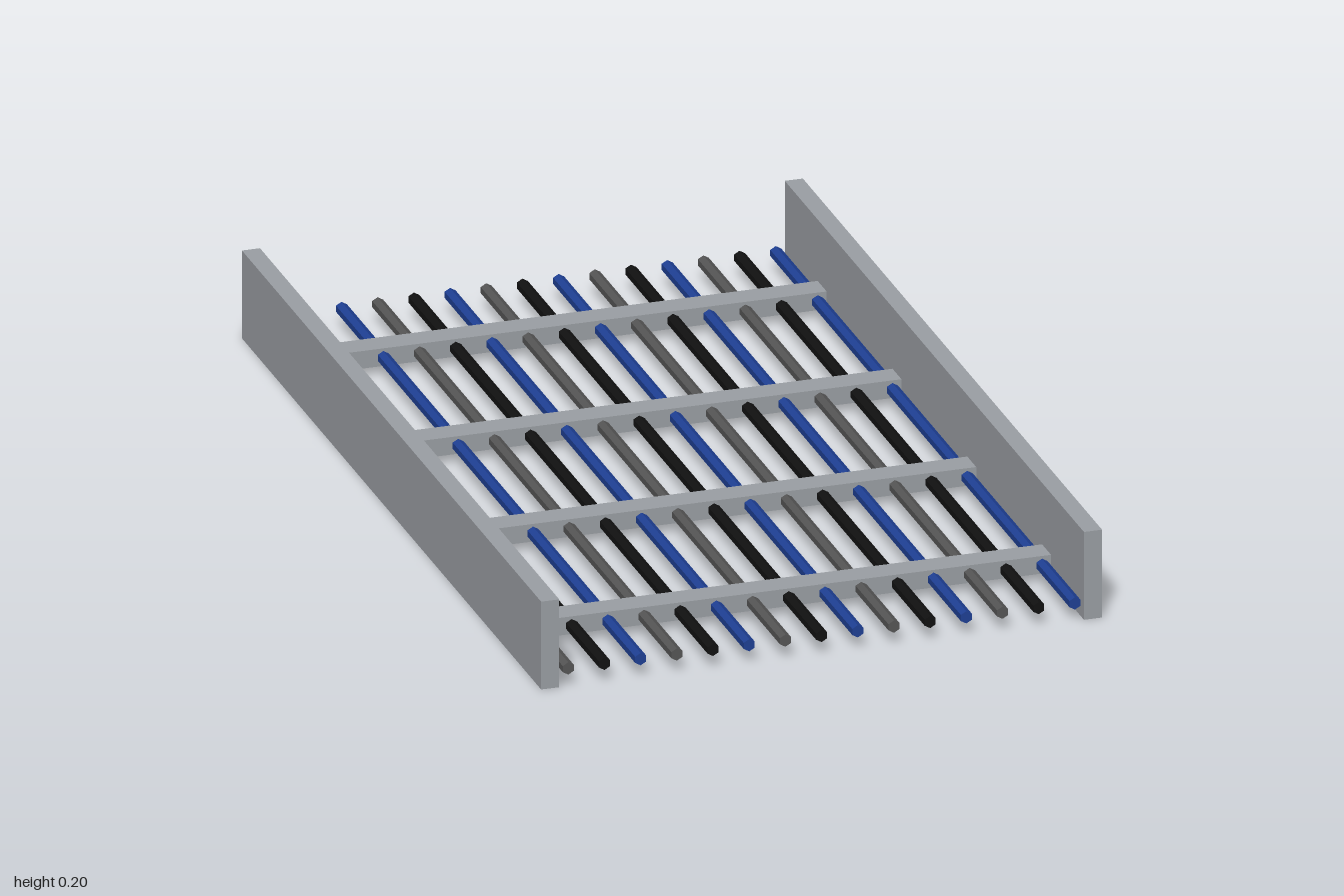
import * as THREE from 'three';

export function createModel() {
  const group = new THREE.Group();
  const paint = (name, color, flatShading = false) => {
    const m = new THREE.MeshStandardMaterial({ color, flatShading });
    m.name = name;
    return m;
  };
  const steel = paint('steel grey', 0x9a9ea3);
  const cableColours = [
    paint('cable grey', 0x555555, true),
    paint('cable black', 0x111111, true),
    paint('cable blue', 0x1e3f94, true),
  ];

  const add = (name, geometry, material, x, y, z) => {
    const mesh = new THREE.Mesh(geometry, material);
    mesh.name = name;
    mesh.position.set(x, y, z);
    group.add(mesh);
  };

  // Side rails
  const railGeometry = new THREE.BoxGeometry(0.04, 0.2, 2);
  add('leftRail', railGeometry, steel, 0.6, 0.1, 0);
  add('rightRail', railGeometry, steel, -0.6, 0.1, 0);

  // Rungs between the rails
  const rungGeometry = new THREE.BoxGeometry(1.16, 0.04, 0.06);
  [-0.75, -0.25, 0.25, 0.75].forEach((z, i) => add(`rung${i + 1}`, rungGeometry, steel, 0, 0.04, z));

  // Hexagonal cables running the full length, colours repeating in threes
  const cableGeometry = new THREE.CylinderGeometry(0.014, 0.014, 2, 6).rotateX(Math.PI / 2);
  for (let i = 0; i < 15; i++) {
    add(`cable${i + 1}`, cableGeometry, cableColours[i % 3], -0.56 + i * 0.08, 0.04, 0);
  }

  return group;
}
